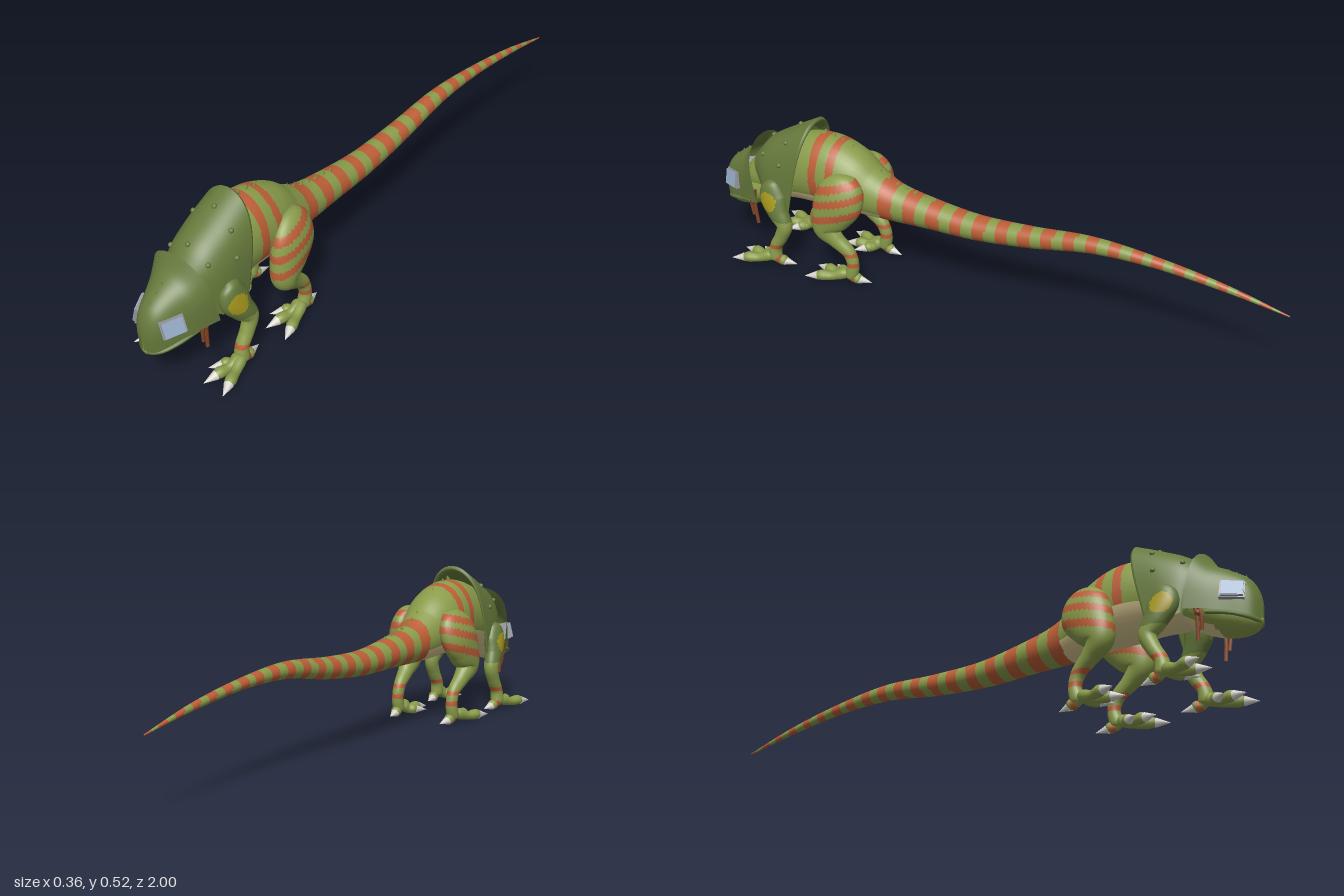
import * as THREE from 'three';

const mat = (name, color, side = THREE.FrontSide) => {
  const m = new THREE.MeshStandardMaterial({ color, side });
  m.name = name;
  return m;
};

// Catmull-Rom sample through rows of numbers, t in 0..1
function sample(rows, t) {
  const f = t * (rows.length - 1), i = Math.min(Math.floor(f), rows.length - 2), u = f - i;
  const r = k => rows[Math.max(0, Math.min(rows.length - 1, k))];
  return rows[0].map((_, c) => {
    const a = r(i - 1)[c], b = r(i)[c], d = r(i + 1)[c], e = r(i + 2)[c];
    return b + 0.5 * u * (d - a + u * (2 * a - 5 * b + 4 * d - e + u * (3 * (b - d) + e - a)));
  });
}

// Grid surface, with one material group per colour index
function gridGeometry(points, rows, cols, pick) {
  const faces = [];
  const w = cols + 1;
  for (let i = 0; i < rows; i++) for (let j = 0; j < cols; j++) {
    const a = i * w + j, b = a + 1, c = a + w, d = c + 1;
    const mid = points[a].clone().add(points[d]).multiplyScalar(0.5);
    (faces[pick(mid, i, j)] ||= []).push(a, b, d, a, d, c);
  }
  const g = new THREE.BufferGeometry().setFromPoints(points);
  const index = [];
  faces.forEach((f, k) => { g.addGroup(index.length, f.length, k); for (const v of f) index.push(v); });
  g.setIndex(index);
  g.computeVertexNormals();
  // close the normal seam of round lofts
  const n = g.attributes.normal;
  for (let i = 0; i <= rows; i++) {
    const a = i * w, b = a + cols;
    if (points[a].distanceTo(points[b]) > 1e-5) continue;
    const v = new THREE.Vector3(n.getX(a) + n.getX(b), n.getY(a) + n.getY(b), n.getZ(a) + n.getZ(b)).normalize();
    n.setXYZ(a, v.x, v.y, v.z);
    n.setXYZ(b, v.x, v.y, v.z);
  }
  return g;
}

// Loft of oval rings; rows are [x, y, z, half width, half depth]
function loft(rows, steps, sides, pick = () => 0) {
  const pts = [], downs = [];
  for (let i = 0; i <= steps; i++) {
    const t = i / steps, [x, y, z, rx, ru] = sample(rows, t);
    const a = sample(rows, Math.max(0, t - 0.01)), b = sample(rows, Math.min(1, t + 0.01));
    const T = new THREE.Vector3(b[0] - a[0], b[1] - a[1], b[2] - a[2]).normalize();
    const s = new THREE.Vector3(1, 0, 0).addScaledVector(T, -T.x).normalize();
    const u = T.clone().cross(s);
    for (let j = 0; j <= sides; j++) {
      const q = (j % sides) / sides * Math.PI * 2;
      const c = new THREE.Vector3(x, y, z).addScaledVector(s, Math.max(rx, 0.0005) * Math.cos(q));
      pts.push(c.addScaledVector(u, Math.max(ru, 0.0005) * Math.sin(q)));
      downs.push(u.y * Math.sin(q));
    }
  }
  return gridGeometry(pts, steps, sides, (p, i, j) => pick(p, downs[i * (sides + 1) + j]));
}

// Arched armour; rows are [top z, top y, bottom z, bottom y, half width]
function archPoint(rows, t, a) {
  const [zt, yt, zb, yb, w] = sample(rows, t), h = Math.sqrt(Math.abs(Math.sin(a)));
  return new THREE.Vector3(w * Math.cos(a), yb + (yt - yb) * h, zb + (zt - zb) * h);
}
function arch(rows, steps = 24, cols = 48) {
  const pts = [];
  for (let i = 0; i <= steps; i++) for (let j = 0; j <= cols; j++) {
    const k = j / cols;
    // points crowd towards both lower edges
    pts.push(archPoint(rows, i / steps, Math.PI * (1 - k * k * (3 - 2 * k))));
  }
  return gridGeometry(pts, steps, cols, () => 0);
}

export function createModel() {
  const root = new THREE.Group();
  const skin = mat('green skin', 0x899b4a), armour = mat('dark green armour', 0x667a3c, THREE.DoubleSide);
  const stripe = mat('orange stripe', 0xbb5d36), belly = mat('tan belly', 0xd8c78f);
  const yellow = mat('yellow patch', 0xa8991c), brown = mat('brown strap', 0x854726);
  const lens = mat('blue lens', 0x98aecb), metal = mat('grey frame', 0x96989f), claw = mat('pale claw', 0xd9d6cf);
  const add = (name, geo, m, parent = root) => {
    const mesh = new THREE.Mesh(geo, m);
    mesh.name = name;
    parent.add(mesh);
    return mesh;
  };

  // Body and tail: [z, top, bottom, half width]
  const profile = [
    [0.90, 0.27, 0.20, 0.04], [0.85, 0.33, 0.20, 0.065], [0.76, 0.40, 0.205, 0.083], [0.67, 0.455, 0.215, 0.096],
    [0.58, 0.475, 0.22, 0.102], [0.50, 0.45, 0.218, 0.1], [0.42, 0.395, 0.217, 0.082], [0.33, 0.352, 0.22, 0.064],
    [0.2, 0.327, 0.225, 0.054], [0.03, 0.311, 0.228, 0.045], [-0.16, 0.32, 0.25, 0.037], [-0.37, 0.34, 0.287, 0.028],
    [-0.58, 0.327, 0.292, 0.019], [-0.8, 0.295, 0.272, 0.011], [-1, 0.247, 0.243, 0.002]];
  const rows = profile.map(([z, t, b, w]) => [0, (t + b) / 2, z, w, (t - b) / 2]);
  add('bodyAndTail', loft(rows, 320, 36, (p, ny) => {
    const s = 0.36 - p.z;
    if (s > 0) return (s * 11.5 + s * s * 1.5) % 1 < 0.53 ? 1 : 0;
    if (ny < -0.45) return 2;
    const band = (p.z > 0.572 && p.z < 0.602) || (p.z > 0.51 && p.z < 0.538);
    return band && p.y > 0.26 ? 1 : 0;
  }), [skin, stripe, belly]);

  // Ridge of small flat spines
  for (let i = 0; i < 13; i++) {
    const z = 0.59 - i * 0.034, h = 0.03 - i * 0.001;
    const k = profile.findIndex(r => r[0] <= z), a = profile[k - 1], b = profile[k];
    const m = add('backSpine', new THREE.ConeGeometry(h * 0.5, h, 8), skin);
    m.position.set(0, a[1] + (b[1] - a[1]) * (z - a[0]) / (b[0] - a[0]) + h * 0.25, z);
    m.scale.x = 0.35;
    m.rotation.x = -0.5;
  }

  // Back shield with rivets and rolled rear rim
  const shield = [[0.86, 0.35, 0.80, 0.23, 0.07], [0.80, 0.42, 0.79, 0.215, 0.095],
    [0.715, 0.472, 0.76, 0.205, 0.108], [0.625, 0.52, 0.69, 0.2, 0.112]];
  add('backShield', arch(shield), armour);
  add('shieldRim', arch([shield[3], [0.618, 0.508, 0.685, 0.2, 0.108], [0.65, 0.48, 0.71, 0.2, 0.1]], 6), armour);
  const rivets = [[0.77, 1.571], [0.35, 1.571]];
  for (const [t, a] of [[0.75, 0.84], [0.35, 0.72], [0.75, 0.37]]) rivets.push([t, a], [t, Math.PI - a]);
  for (const [t, a] of rivets)
    add('rivet', new THREE.SphereGeometry(0.008, 12, 8), armour).position.copy(archPoint(shield, t, a));

  // Jaw, lip and head plate
  add('jaw', loft([[0, 0.178, 0.985, 0.001, 0.002], [0, 0.175, 0.98, 0.026, 0.03], [0, 0.18, 0.95, 0.05, 0.044],
    [0, 0.195, 0.9, 0.068, 0.05], [0, 0.22, 0.85, 0.08, 0.053], [0, 0.26, 0.79, 0.07, 0.05]], 30, 24,
    (p, ny) => ny < -0.7 && p.z < 0.87 ? 1 : 0), [skin, belly]);
  const lipHalf = [[0.084, 0.2, 0.86], [0.064, 0.183, 0.93], [0.036, 0.168, 0.972]];
  const lip = [...lipHalf, [0, 0.162, 0.988], ...lipHalf.map(([x, y, z]) => [-x, y, z]).reverse()];
  add('lip', new THREE.TubeGeometry(new THREE.CatmullRomCurve3(lip.map(p => new THREE.Vector3(...p))), 40, 0.007, 8), armour);
  const plate = [[0.998, 0.205, 0.996, 0.165, 0.001], [0.991, 0.258, 0.982, 0.166, 0.032], [0.967, 0.305, 0.955, 0.174, 0.053],
    [0.915, 0.345, 0.91, 0.19, 0.073], [0.875, 0.372, 0.865, 0.205, 0.093], [0.847, 0.417, 0.805, 0.213, 0.115]];
  add('headPlate', arch(plate), armour);
  for (const t of [0.45, 0.55, 0.65])
    add('snoutSpine', new THREE.ConeGeometry(0.006, 0.014, 8), armour).position.copy(archPoint(plate, t, Math.PI / 2));

  // Foot with three front toes, a banded rear toe and claws
  function foot(parent, s, x, z) {
    const toes = [[0.36, 0.105], [-0.2, 0.095], [-0.65, 0.058], [Math.PI + 0.15, 0.045]];
    for (const [ang, len] of toes) {
      const dx = Math.sin(ang) * s, dz = Math.cos(ang);
      const at = (d, y, r) => [x * s + dx * d, y, z + dz * d, r, r];
      add('toe', loft([at(-0.012, 0.04, 0.006), at(0.01, 0.034, 0.019), at(len * 0.5, 0.021, 0.015),
        at(len * 0.85, 0.021, 0.018), at(len + 0.008, 0.016, 0.008)], 16, 12,
        p => dz < 0 && z - p.z > 0.018 && z - p.z < 0.032 ? 1 : 0), [skin, stripe], parent);
      const c = add('claw', new THREE.ConeGeometry(0.0155, 0.046, 10), claw, parent);
      c.position.set(x * s + dx * (len + 0.02), 0.0165, z + dz * (len + 0.02));
      c.quaternion.setFromUnitVectors(new THREE.Vector3(0, 1, 0), new THREE.Vector3(dx, -0.12, dz).normalize());
    }
  }

  for (const s of [1, -1]) {
    const side = s > 0 ? 'left' : 'right';
    const flip = r => r.map(([x, ...rest]) => [x * s, ...rest]);
    const group = name => {
      const g = new THREE.Group();
      g.name = side + name;
      root.add(g);
      return g;
    };

    // Hind leg with slanted bands
    const hind = group('HindLeg');
    add('hindLimb', loft(flip([[0.068, 0.38, 0.44, 0.004, 0.006], [0.085, 0.36, 0.45, 0.034, 0.057],
      [0.105, 0.31, 0.478, 0.045, 0.083], [0.112, 0.25, 0.51, 0.044, 0.072], [0.115, 0.195, 0.532, 0.038, 0.046],
      [0.112, 0.155, 0.497, 0.027, 0.029], [0.108, 0.115, 0.452, 0.021, 0.023], [0.108, 0.07, 0.438, 0.02, 0.021],
      [0.109, 0.03, 0.447, 0.02, 0.022], [0.109, 0.015, 0.45, 0.01, 0.01]]), 170, 40, p => {
      const h = p.y + (p.y > 0.15 ? 0.3 : 0) * (p.z - 0.5);
      return [[0.337, 0.362], [0.289, 0.314], [0.235, 0.26], [0.068, 0.084], [0.105, 0.118]]
        .some(([a, b]) => h > a && h < b) ? 1 : 0;
    }), [skin, stripe], hind);
    foot(hind, s, 0.112, 0.46);

    // Front leg with armoured shoulder and round patch
    const front = group('FrontLeg');
    add('frontLimb', loft(flip([[0.098, 0.312, 0.755, 0.004, 0.006], [0.102, 0.295, 0.75, 0.024, 0.034],
      [0.108, 0.25, 0.742, 0.03, 0.05], [0.116, 0.205, 0.722, 0.029, 0.04], [0.122, 0.16, 0.695, 0.025, 0.028],
      [0.123, 0.115, 0.71, 0.022, 0.023], [0.123, 0.07, 0.735, 0.022, 0.021], [0.125, 0.03, 0.74, 0.022, 0.024],
      [0.125, 0.015, 0.74, 0.01, 0.01]]), 140, 40, p => {
      if (Math.hypot(p.y - 0.243, p.z - 0.748) < 0.034 && p.x * s > 0.11) return 2;
      if (p.y > 0.18) return 1;
      return p.y > 0.07 && p.y < 0.085 ? 3 : 0;
    }), [skin, armour, yellow, stripe], front);
    foot(front, s, 0.128, 0.745);

    // Goggle: deep frame, rim and lens plate, tilted to face out, forward and up
    const goggle = group('Goggle');
    goggle.position.set(0.051 * s, 0.25, 0.931);
    goggle.rotation.set(0.12, -0.45 * s, 0.24 * s, 'YXZ');
    add('frame', new THREE.BoxGeometry(0.034, 0.058, 0.072), metal, goggle);
    add('rim', new THREE.BoxGeometry(0.012, 0.053, 0.064), metal, goggle).position.x = 0.017 * s;
    add('lens', new THREE.BoxGeometry(0.004, 0.05, 0.061), lens, goggle).position.x = 0.023 * s;

    // Hanging straps with a knot
    const straps = group('Straps');
    for (const [dz, end] of [[0, 0.115], [0.014, 0.145]]) {
      const pts = [[0.095, 0.255, 0.825], [0.088, 0.2, 0.835 + dz], [0.082, end, 0.832 + dz]];
      const curve = new THREE.CatmullRomCurve3(pts.map(([x, y, z]) => new THREE.Vector3(x * s, y, z)));
      add('strap', new THREE.TubeGeometry(curve, 12, 0.006, 8), brown, straps);
    }
    add('knot', new THREE.SphereGeometry(0.01, 12, 8), brown, straps).position.set(0.088 * s, 0.2, 0.84);
  }
  return root;
}
